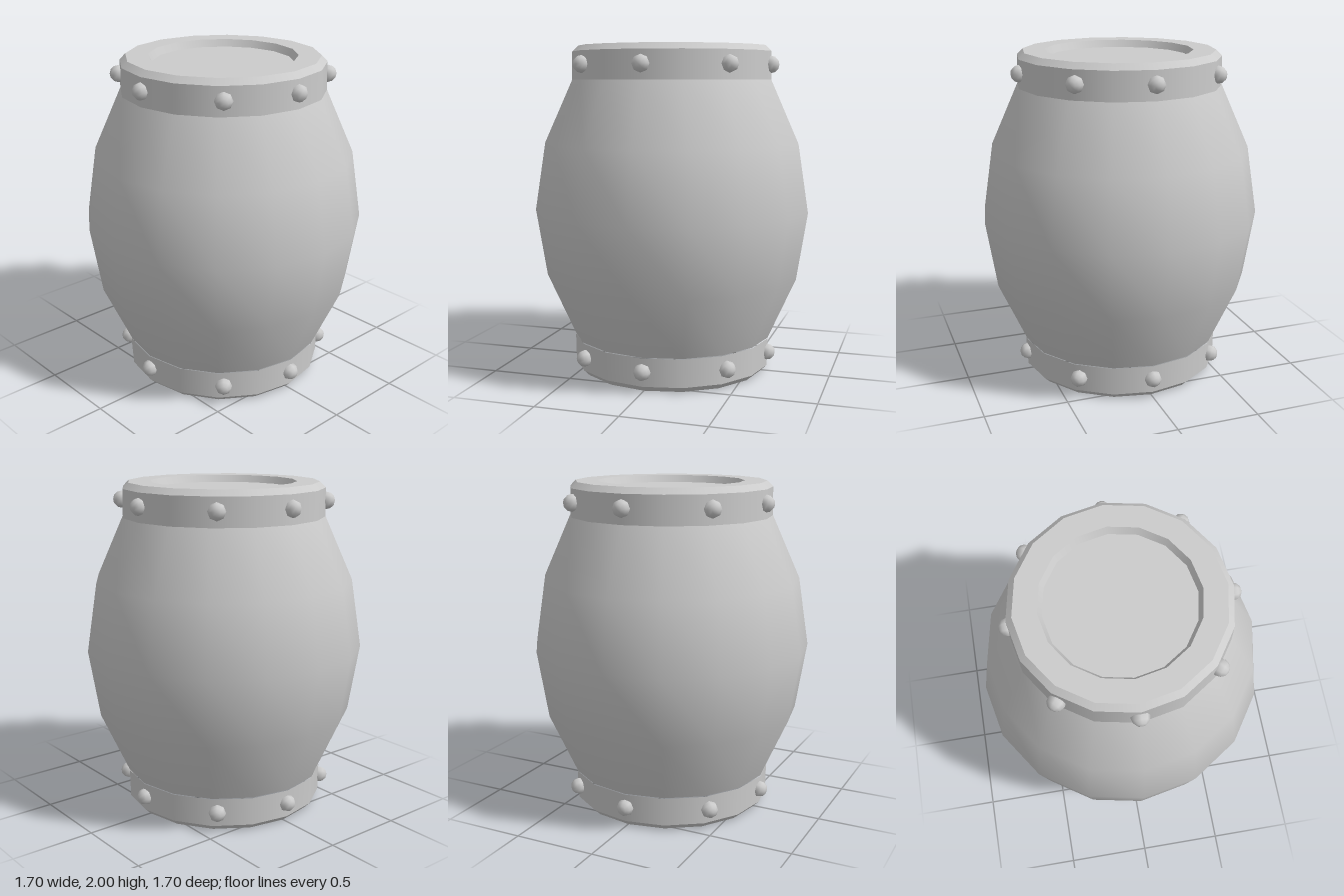
import * as THREE from 'three';

const SIDES = 16;

export function createModel() {
  const group = new THREE.Group();
  const material = new THREE.MeshStandardMaterial({ color: 0xcccccc });

  // Revolve a profile of [radius, height] points, listed upward along the outside
  const revolve = (name, points, parent) => {
    const profile = points.map(([r, y]) => new THREE.Vector2(r, y));
    const mesh = new THREE.Mesh(new THREE.LatheGeometry(profile, SIDES), material);
    mesh.name = name;
    parent.add(mesh);
  };

  // Bulging body
  revolve('body', [[0.615, 0.21], [0.785, 0.59], [0.85, 1], [0.785, 1.415], [0.615, 1.795]], group);

  // End assemblies: profiles are given for the top and mirrored for the bottom
  const rivetGeometry = new THREE.SphereGeometry(0.052, 8, 6);
  rivetGeometry.rotateX(Math.PI / 2); // poles point outward

  for (const [prefix, top] of [['top', true], ['bottom', false]]) {
    const end = new THREE.Group();
    end.name = prefix + 'End';
    group.add(end);
    const endPart = (name, points) =>
      revolve(name, top ? points : points.map(([r, y]) => [r, 2 - y]).reverse(), end);

    endPart('band', [[0.615, 1.795], [0.612, 1.965]]);
    endPart('bevel', [[0.612, 1.965], [0.577, 2]]);
    endPart('rim', [[0.577, 2], [0.442, 2]]);
    endPart('recessWall', [[0.442, 2], [0.42, 1.957]]);
    endPart('lid', [[0.42, 1.957], [0, 1.957]]);

    // Eight rivets, the diagonal ones slightly off the 45 degree line
    for (let i = 0; i < 8; i++) {
      const diagonal = i % 2 === 1;
      const angle = i * Math.PI / 4 + (diagonal ? 0.05 : 0);
      const rivet = new THREE.Mesh(rivetGeometry, material);
      rivet.name = 'rivet';
      const r = diagonal ? 0.618 : 0.61;
      rivet.position.set(r * Math.sin(angle), top ? 1.885 : 0.122, r * Math.cos(angle));
      rivet.rotation.y = angle;
      end.add(rivet);
    }
  }
  return group;
}
